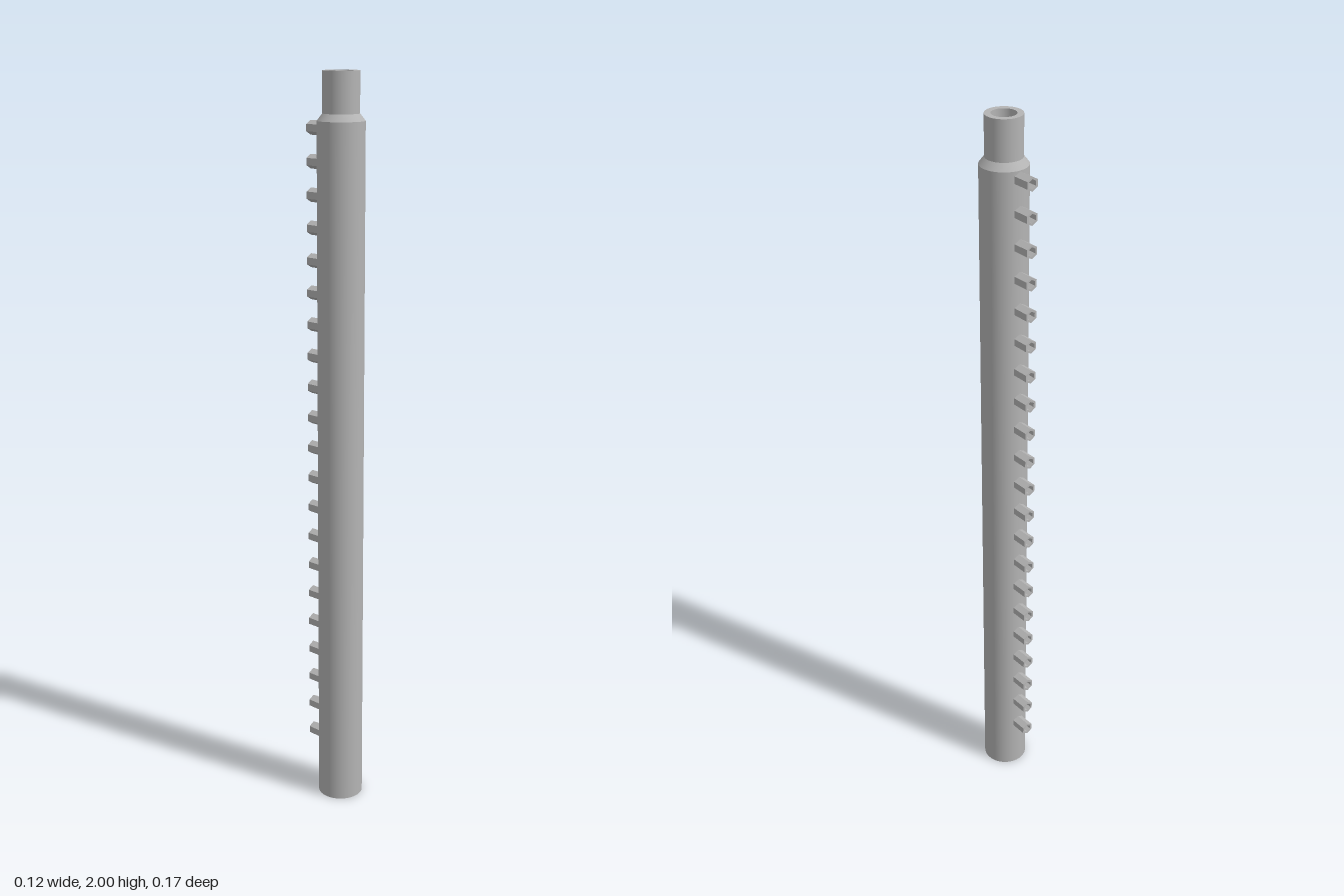
import * as THREE from 'three';
import { mergeGeometries } from 'three/addons/utils/BufferGeometryUtils.js';

// Turned part: each profile span is its own lathe, so edges between spans stay sharp
function turned(profile, sides) {
  const spans = [];
  for (let i = 0; i < profile.length - 1; i++) {
    const pts = [profile[i], profile[i + 1]].map(([r, y]) => new THREE.Vector2(r, y));
    spans.push(new THREE.LatheGeometry(pts, sides));
  }
  return mergeGeometries(spans);
}

export function createModel() {
  const model = new THREE.Group();
  model.name = 'manifoldPipe';
  const metal = new THREE.MeshStandardMaterial({ color: 0xb4b4b4 });
  metal.name = 'grey metal';
  const axisZ = 0.0225;

  // Hollow pipe with a chamfered shoulder and a narrower neck: outside up, inside down
  const pipe = new THREE.Mesh(turned([
    [0.0615, 0], [0.0615, 1.878], [0.0473, 1.896], [0.0473, 2],
    [0.0315, 2], [0.0315, 1.87], [0.055, 1.85], [0.055, 0], [0.0615, 0],
  ], 48), metal);
  pipe.name = 'pipe';
  pipe.position.z = axisZ;
  model.add(pipe);

  // Row of short six-sided outlets along the back, one corner up
  const outletGeometry = turned([
    [0.0185, 0.057], [0.0185, 0.1055], [0.0125, 0.1055], [0.0125, 0.057],
  ], 6).toNonIndexed();
  outletGeometry.computeVertexNormals();
  outletGeometry.rotateX(-Math.PI / 2);
  outletGeometry.rotateY(THREE.MathUtils.degToRad(10));

  const outlets = new THREE.Group();
  outlets.name = 'outlets';
  for (let i = 0; i < 21; i++) {
    const outlet = new THREE.Mesh(outletGeometry, metal);
    outlet.name = 'outlet';
    outlet.position.set(0, 0.156 + i * 0.08505, axisZ);
    outlets.add(outlet);
  }
  model.add(outlets);
  return model;
}
